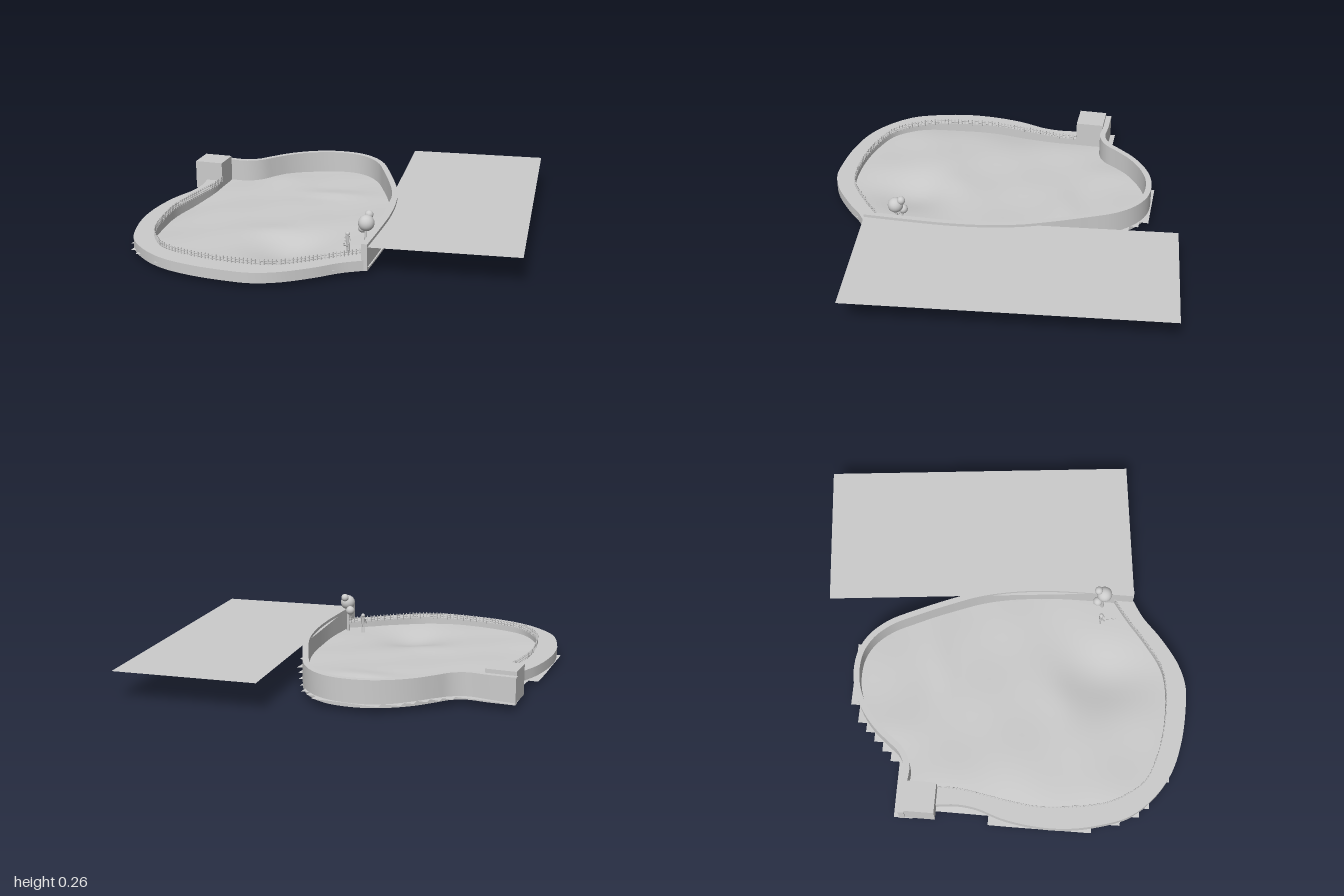
import * as THREE from 'three';
import { toCreasedNormals } from 'three/addons/utils/BufferGeometryUtils.js';

const mat = new THREE.MeshStandardMaterial({ color: 0xcccccc });
const thin = new THREE.MeshStandardMaterial({ color: 0xcccccc, side: THREE.DoubleSide });

// Outlines in plan, as [x, z]
const BACK = [[-1, -.44], [-.86, -.44], [-.76, -.435], [-.69, -.47], [-.64, -.53], [-.57, -.61], [-.48, -.68],
  [-.37, -.73], [-.26, -.745], [-.16, -.73], [-.07, -.68], [.01, -.59], [.08, -.45], [.15, -.29], [.21, -.13],
  [.25, .05], [.27, .24], [.275, .45], [.275, .68]];
const FRONT_OUT = [[-.93, -.26], [-.92, -.16], [-.93, -.06], [-.975, .08], [-1, .24], [-1, .4], [-.97, .56],
  [-.91, .72], [-.8, .84], [-.67, .92], [-.5, .965], [-.32, .98], [-.2, .975], [-.08, .93], [.06, .83], [.16, .74], [.265, .675]];
const FRONT_IN = [[-.84, -.26], [-.84, -.16], [-.88, .08], [-.9, .24], [-.89, .4], [-.855, .59], [-.8, .7],
  [-.72, .79], [-.58, .845], [-.4, .875], [-.2, .87], [-.1, .84], [.03, .75], [.14, .66], [.25, .58]];

function curve(points, y = 0) {
  return new THREE.CatmullRomCurve3(points.map(([x, z]) => new THREE.Vector3(x, y, z)));
}

function sample(points, n = 90) {
  return curve(points).getSpacedPoints(n).map(p => new THREE.Vector2(p.x, p.z));
}

// Shift a plan line sideways by d
function offset(line, d) {
  return line.map((p, i) => {
    const a = line[Math.max(i - 1, 0)], b = line[Math.min(i + 1, line.length - 1)];
    const t = b.clone().sub(a).normalize();
    return new THREE.Vector2(p.x - t.y * d, p.y + t.x * d);
  });
}

// Solid wall between two plan lines
function wall(name, outer, inner, y0, y1) {
  const ring = [...outer, ...inner.slice().reverse()].map(p => new THREE.Vector2(p.x, -p.y));
  const geo = new THREE.ExtrudeGeometry(new THREE.Shape(ring), { depth: y1 - y0, bevelEnabled: false });
  geo.rotateX(-Math.PI / 2).translate(0, y0, 0);
  return part(name, toCreasedNormals(geo, 0.6));
}

function part(name, geo, x = 0, y = 0, z = 0, material = mat) {
  const mesh = new THREE.Mesh(geo, material);
  mesh.name = name;
  mesh.position.set(x, y, z);
  return mesh;
}

function inside(x, z, poly) {
  let hit = false;
  for (let i = 0, j = poly.length - 1; i < poly.length; j = i++) {
    const a = poly[i], b = poly[j];
    if ((a.y > z) !== (b.y > z) && x < (b.x - a.x) * (z - a.y) / (b.y - a.y) + a.x) hit = !hit;
  }
  return hit;
}

function groundHeight(x, z) {
  const bump = (cx, cz, rx, rz, h) => h * Math.exp(-(((x - cx) / rx) ** 2) - (((z - cz) / rz) ** 2));
  const ripple = .003 * Math.sin(13 * x + 4 * z) * Math.cos(11 * z - 3 * x);
  const y = .05 + ripple + bump(-.15, .55, .17, .2, -.047) + bump(-1, .2, .16, .6, -.033)
    + bump(-.2, -.3, .15, .05, .014) + bump(-.3, .33, .12, .08, .01) + bump(-.55, -.5, .1, .1, .008);
  return Math.max(0, y);
}

// Rolling ground on a square grid with a stepped edge
function ground(poly) {
  const cell = .0475, n = 44, pos = [], index = [];
  for (let j = 0; j <= n; j++) for (let i = 0; i <= n; i++) {
    const x = -1 + i * cell, z = -.99 + j * cell;
    pos.push(x, groundHeight(x, z), z);
    if (i < n && j < n && inside(x + cell / 2 + .01, z + cell / 2 + .025, poly)) {
      const a = j * (n + 1) + i, b = a + 1, c = a + n + 1, d = c + 1;
      index.push(a, c, b, b, c, d);
    }
  }
  const geo = new THREE.BufferGeometry();
  geo.setAttribute('position', new THREE.Float32BufferAttribute(pos, 3));
  geo.setIndex(index);
  geo.computeVertexNormals();
  return part('ground', geo.toNonIndexed(), 0, 0, 0, thin);
}

// Post and rail fence on the inner edge of the low wall
function fence() {
  const g = new THREE.Group();
  g.name = 'fence';
  for (const y of [.09, .102]) {
    g.add(part('fenceRail', new THREE.TubeGeometry(curve(FRONT_IN, y), 120, .002, 5)));
  }
  const post = new THREE.BoxGeometry(.005, .036, .005);
  for (const p of sample(FRONT_IN, 110)) g.add(part('fencePost', post, p.x, .093, p.y));
  return g;
}

function tree() {
  const g = new THREE.Group();
  g.name = 'tree';
  g.add(part('trunk', new THREE.CylinderGeometry(.006, .009, .15, 10), .222, .125, .52));
  for (const [x, y, z, r] of [[.225, .213, .522, .04], [.23, .246, .49, .021], [.198, .175, .49, .024]]) {
    g.add(part('foliage', new THREE.SphereGeometry(r, 20, 14), x, y, z));
  }
  return g;
}

// Small standing figure holding a rod towards the front
function figure() {
  const g = new THREE.Group();
  g.name = 'figure';
  for (const s of [-1, 1]) {
    g.add(part('leg', new THREE.CylinderGeometry(.004, .004, .05, 8), s * .006, .025, 0));
    const arm = part('arm', new THREE.CylinderGeometry(.003, .003, .035, 8), s * .012, .065, .01);
    arm.rotation.x = -.6;
    g.add(arm);
  }
  g.add(part('torso', new THREE.CylinderGeometry(.011, .008, .04, 10), 0, .068, 0));
  g.add(part('head', new THREE.SphereGeometry(.011, 12, 10), 0, .098, 0));
  const rod = part('rod', new THREE.CylinderGeometry(.002, .002, .08, 6), 0, .05, .04);
  rod.rotation.x = 1.1;
  g.add(rod);
  g.position.set(.13, .048, .515);
  return g;
}

export function createModel() {
  const model = new THREE.Group();
  const back = sample(BACK), frontOut = sample(FRONT_OUT), frontIn = sample(FRONT_IN);

  model.add(wall('highWall', back, offset(back, .03), .03, .165));
  model.add(wall('lowWall', frontOut, frontIn, .03, .082));
  model.add(part('cornerBlock', new THREE.BoxGeometry(.155, .155, .15), -.9175, .1075, -.335));
  model.add(ground([...back, ...frontOut.slice().reverse()]));
  model.add(fence(), tree(), figure());

  // Flat sheet beside the high wall
  const sheet = new THREE.Shape([[.11, .92], [.27, -.68], [1, -.605], [.84, .99]].map(p => new THREE.Vector2(...p)));
  model.add(part('sideField', new THREE.ShapeGeometry(sheet).rotateX(-Math.PI / 2), 0, .15, 0, thin));
  return model;
}
